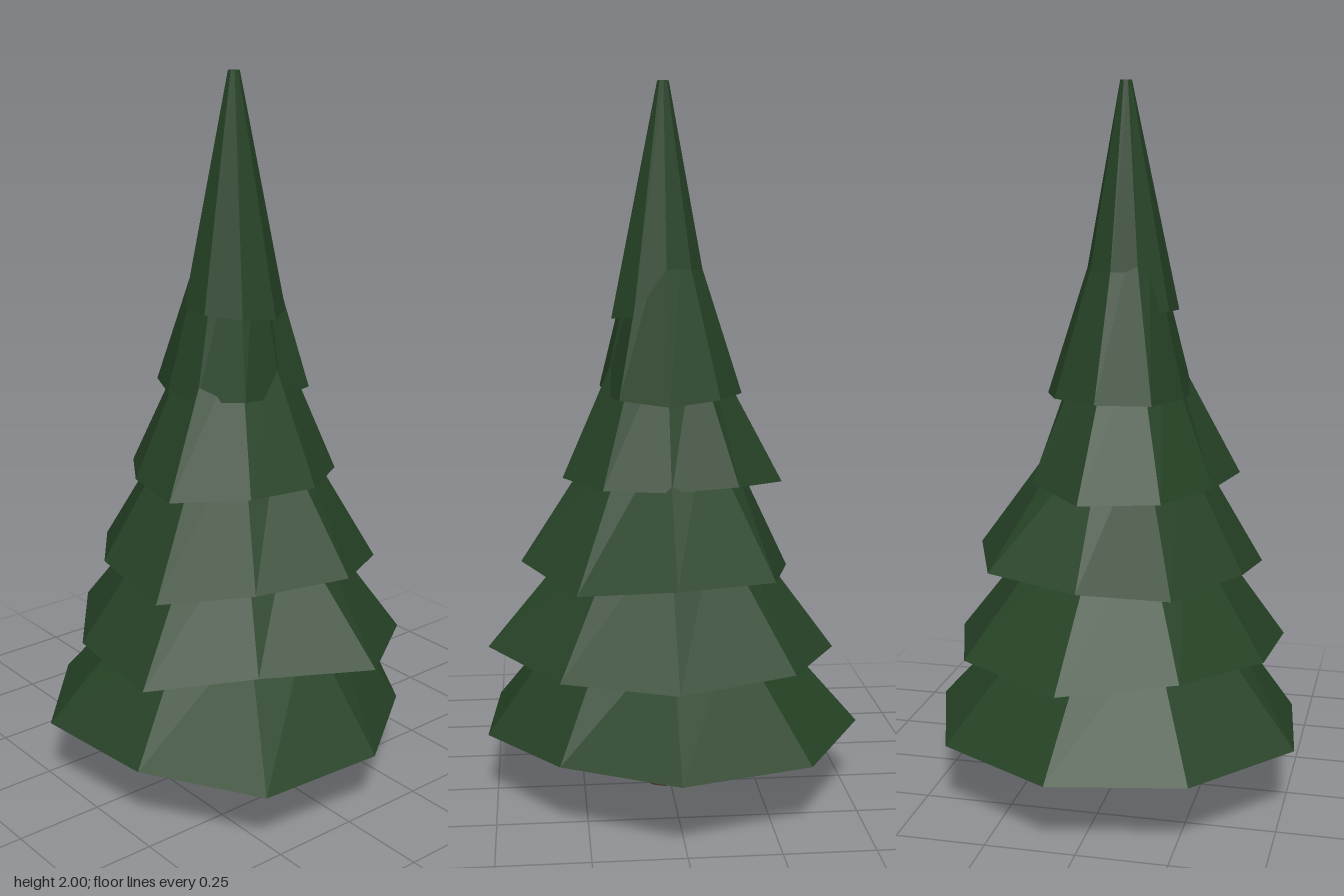
import * as THREE from 'three';

const SIDES = 9;

// Skirts of branches: uneven lower rim (radius and height per corner, starting at the back
// and turning towards +x), then the height and radius of the regular upper rim.
const TIERS = [
  { r: [.555, .48, .513, .55, .5, .55, .546, .557, .56], y: [.21, .2, .19, .185, .195, .205, .2, .2, .2], top: [.52, .27] },
  { r: [.49, .475, .507, .42, .47, .45, .47, .485, .5], y: [.43, .43, .45, .465, .42, .44, .455, .42, .44], top: [.8, .2] },
  { r: [.43, .4, .41, .37, .4, .38, .4, .35, .425], y: [.69, .65, .69, .68, .645, .68, .66, .66, .68], top: [1.06, .16] },
  { r: [.26, .283, .29, .29, .33, .285, .31, .335, .29], y: [.915, .915, .92, .92, .91, .91, .9, .9, .92], top: [1.3, .12] },
  { r: [.225, .207, .17, .2, .19, .19, .23, .22, .22], y: [1.14, 1.15, 1.15, 1.16, 1.15, 1.15, 1.15, 1.15, 1.15], top: [1.6, .075] },
  { r: [.13, .14, .148, .15, .15, .14, .13, .13, .13], y: [1.38, 1.37, 1.36, 1.37, 1.38, 1.385, 1.38, 1.38, 1.38], top: [2, .016] },
];

function corner(k, radius, y) {
  const a = (k / SIDES) * Math.PI * 2;
  return [Math.sin(a) * radius, y, -Math.cos(a) * radius];
}

// Closed, faceted frustum with an uneven lower rim
function tierGeometry({ r, y, top }) {
  const positions = [];
  const tri = (...points) => points.forEach((p) => positions.push(...p));
  const baseCentre = [0, y.reduce((sum, v) => sum + v, 0) / SIDES, 0];
  const topCentre = [0, top[0], 0];
  for (let k = 0; k < SIDES; k++) {
    const n = (k + 1) % SIDES;
    const b0 = corner(k, r[k], y[k]);
    const b1 = corner(n, r[n], y[n]);
    const t0 = corner(k, top[1], top[0]);
    const t1 = corner(n, top[1], top[0]);
    tri(b1, b0, t0);
    tri(b1, t0, t1);
    tri(baseCentre, b0, b1);
    tri(topCentre, t1, t0);
  }
  const geometry = new THREE.BufferGeometry();
  geometry.setAttribute('position', new THREE.Float32BufferAttribute(positions, 3));
  geometry.computeVertexNormals();
  return geometry;
}

export function createModel() {
  const needles = new THREE.MeshStandardMaterial({ color: 0x264226 });
  needles.name = 'needle green';
  const bark = new THREE.MeshStandardMaterial({ color: 0x4a3029 });
  bark.name = 'bark brown';

  const model = new THREE.Group();
  model.name = 'firTree';

  // Everything shares one axis, slightly off the middle because the skirts are uneven
  const tree = new THREE.Group();
  tree.name = 'tree';
  tree.position.set(0.018, 0, 0.02);
  model.add(tree);

  // Tapered trunk, running up inside the lowest skirt
  const trunkGeometry = new THREE.CylinderGeometry(0.036, 0.051, 0.3, 8).toNonIndexed();
  trunkGeometry.computeVertexNormals();
  const trunk = new THREE.Mesh(trunkGeometry, bark);
  trunk.name = 'trunk';
  trunk.position.y = 0.15;
  tree.add(trunk);

  // Stacked branch skirts, the last one forming the tip
  TIERS.forEach((tier, i) => {
    const mesh = new THREE.Mesh(tierGeometry(tier), needles);
    mesh.name = `branchTier${i + 1}`;
    tree.add(mesh);
  });

  return model;
}
